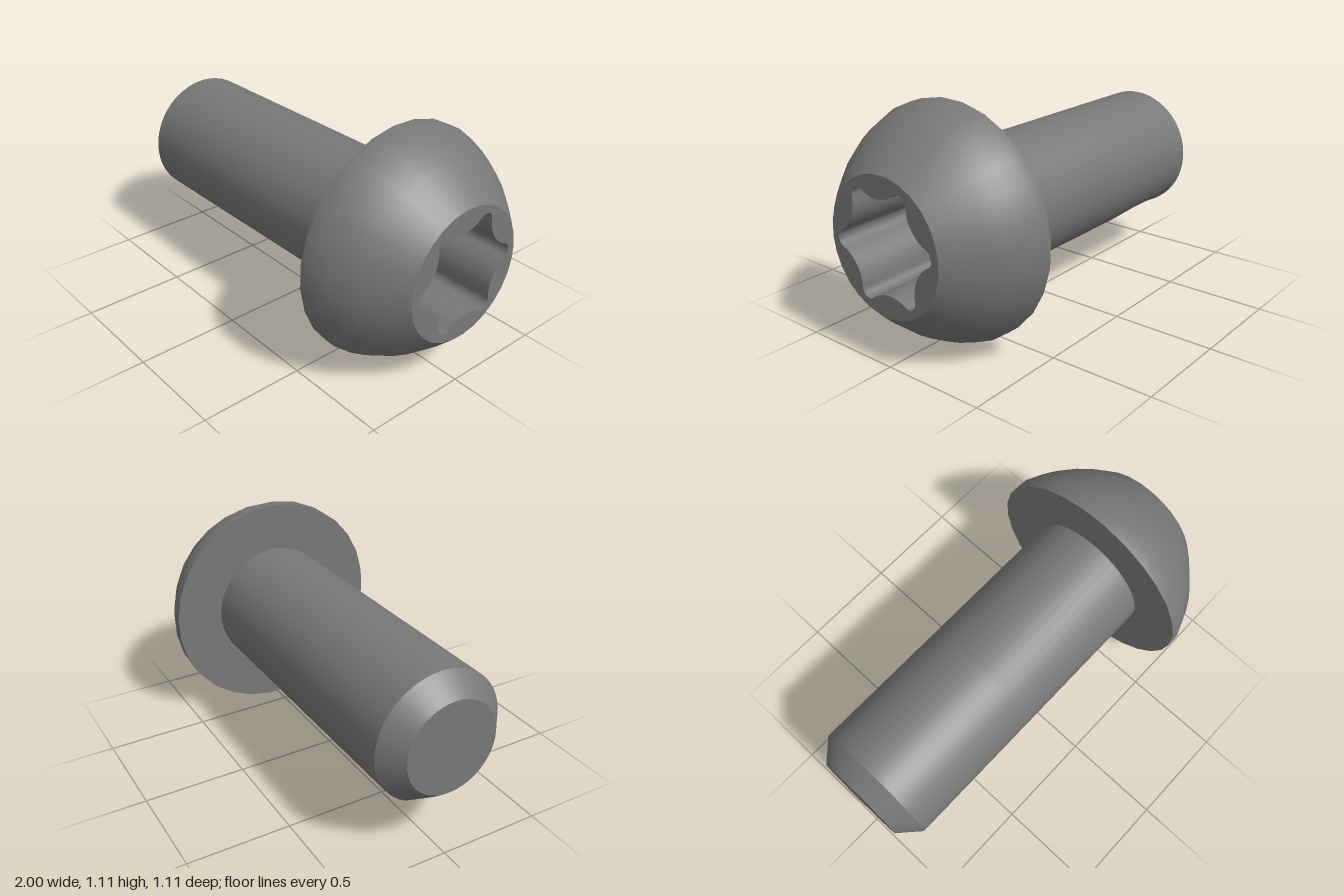
import * as THREE from 'three';

const TAU = Math.PI * 2;
const HEAD_SIDES = 28;

// Surface through rows of points; its front is (along row) x (row to row)
function grid(rows) {
  const n = rows[0].length, index = [];
  for (let i = 0; i < rows.length - 1; i++) {
    for (let j = 0; j < n - 1; j++) {
      const a = i * n + j, c = a + n;
      index.push(a, a + 1, c, a + 1, c + 1, c);
    }
  }
  const g = new THREE.BufferGeometry();
  g.setAttribute('position', new THREE.Float32BufferAttribute(rows.flat(2), 3));
  g.setIndex(index);
  g.computeVertexNormals();
  return g;
}

const steps = (n, fn) => Array.from({ length: n + 1 }, (_, i) => fn(i / n));

// Profile points are [x, radius], turned about the x axis
function turned(profile) {
  const pts = profile.map(([x, r]) => new THREE.Vector2(r, x));
  return new THREE.LatheGeometry(pts, HEAD_SIDES).rotateZ(-Math.PI / 2);
}

// Six-lobed star: small round tips joined by tangent hollow arcs
function starOutline() {
  const pts = [], tip = 0.24, tipR = 0.04, hollow = 0.379, hollowR = 0.169;
  const deg = Math.PI / 180;
  for (let k = 0; k < 6; k++) {
    const base = k * 60 * deg;
    const arc = (dist, dir, r, from, to, n) => {
      for (let i = 0; i < n; i++) {
        const t = base + (from + (to - from) * i / n) * deg, d = base + dir * deg;
        pts.push(new THREE.Vector2(dist * Math.cos(d) + r * Math.cos(t), dist * Math.sin(d) + r * Math.sin(t)));
      }
    };
    arc(tip, 0, tipR, -65, 65, 8);
    arc(hollow, 30, hollowR, 245, 175, 8);
  }
  return pts;
}

export function createModel() {
  const steel = new THREE.MeshStandardMaterial({ color: 0x787878 });
  steel.name = 'steelGrey';
  const model = new THREE.Group();
  model.name = 'screw';
  const body = new THREE.Group();
  body.name = 'screwBody';
  body.position.y = 0.5575;
  body.rotation.x = 0.078;
  model.add(body);
  const add = (name, geometry) => {
    const mesh = new THREE.Mesh(geometry, steel);
    mesh.name = name;
    body.add(mesh);
  };

  // Domed head and its flat underside
  add('headDome', turned([[0.59, 0.5545], [0.65, 0.5535], [0.73, 0.522], [0.79, 0.492],
    [0.85, 0.452], [0.93, 0.386], [1, 0.317]]));
  add('headUnderside', turned([[0.59, 0.3], [0.59, 0.5545]]));

  // Flat face with the star socket sunk into it
  const star = starOutline();
  const face = new THREE.Shape(steps(HEAD_SIDES - 1, u => {
    const t = u * (HEAD_SIDES - 1) / HEAD_SIDES * TAU;
    return new THREE.Vector2(0.317 * Math.cos(t), 0.317 * Math.sin(t));
  }));
  face.holes.push(new THREE.Path(star));
  add('headFace', new THREE.ShapeGeometry(face).rotateY(Math.PI / 2).translate(1, 0, 0));
  const floorX = 0.6;
  const loop = [...star, star[0]];
  add('socketWall', grid([1, floorX].map(x => loop.map(p => [x, p.y, -p.x]))));
  add('socketFloor', new THREE.ShapeGeometry(new THREE.Shape(star)).rotateY(Math.PI / 2).translate(floorX, 0, 0));

  // Shank sections, left open below where the oval pocket cuts in
  const midX = -0.6, halfX = 0.38, halfZ = 0.216, ceilingY = -0.02, bevelX = -0.9;
  const radius = x => Math.min(0.315, 0.225 + 0.9 * (x + 1));
  const pocketZ = x => halfZ * Math.sqrt(Math.max(0, 1 - ((x - midX) / halfX) ** 2));
  const section = x => {
    const r = radius(x), open = Math.asin(pocketZ(x) / r);
    return steps(48, u => {
      const t = open + u * (TAU - 2 * open);
      return [x, -r * Math.cos(t), r * Math.sin(t)];
    });
  };
  const stations = steps(32, u => midX + halfX * Math.cos(u * Math.PI));
  add('shank', grid([0.59, ...stations.filter(x => x > bevelX), bevelX].map(section)));
  add('shankBevel', grid([bevelX, ...stations.filter(x => x < bevelX), -1].map(section)));
  add('shankTip', new THREE.CircleGeometry(0.225, 48).rotateY(-Math.PI / 2).translate(-1, 0, 0));

  // Oval pocket under the shank
  const oval = steps(64, u => [midX + halfX * Math.cos(u * TAU), halfZ * Math.sin(u * TAU)]);
  const rim = oval.map(([x, z]) => [x, -Math.sqrt(radius(x) ** 2 - z * z), z]);
  const top = oval.map(([x, z]) => [x, ceilingY, z]);
  add('pocketWall', grid([rim, top]));
  add('pocketCeiling', grid([top, top.map(() => [midX, ceilingY, 0])]));

  return model;
}
